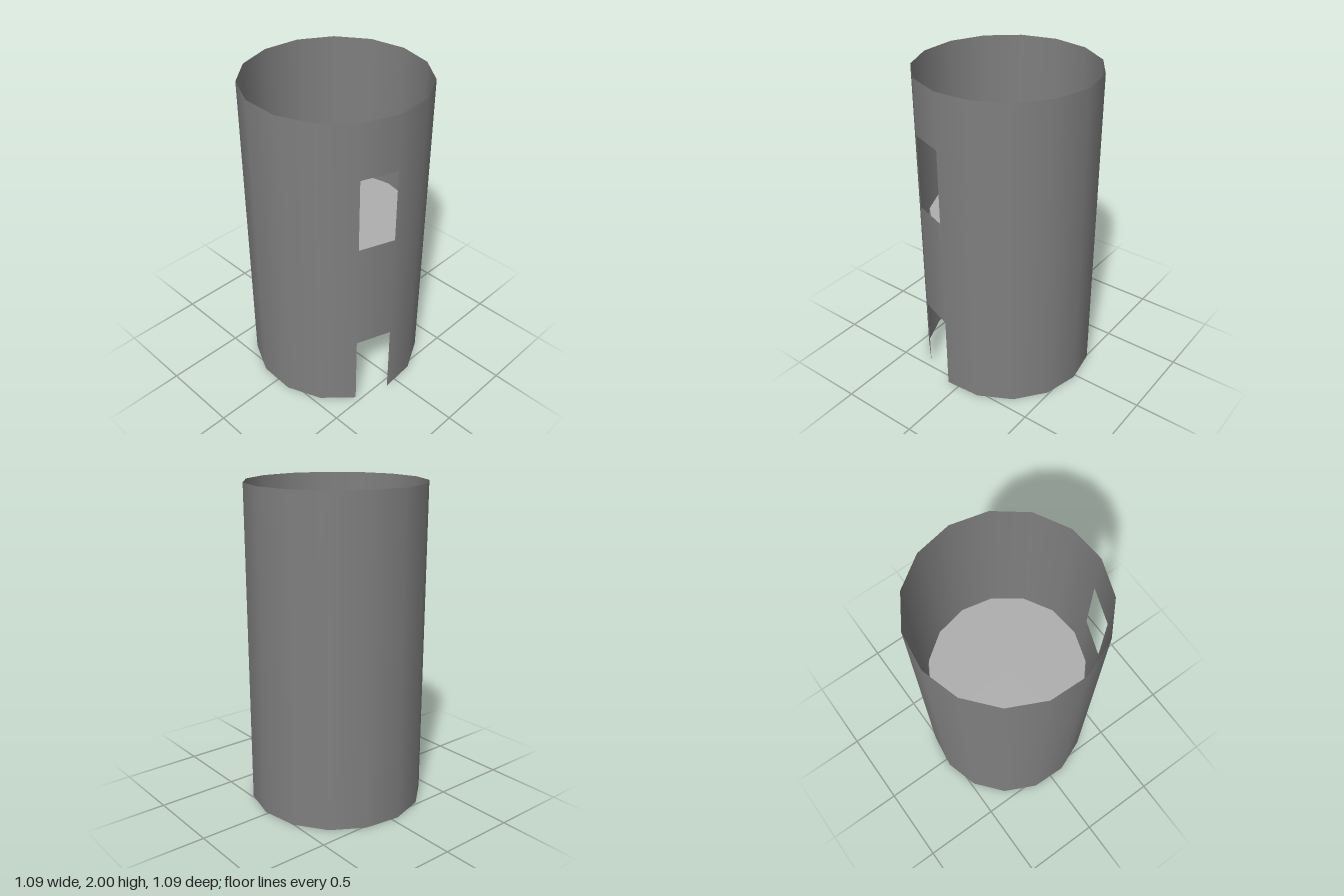
import * as THREE from 'three';

const SIDES = 15;
const STEP = (Math.PI * 2) / SIDES;
const RADIUS = 0.549;
const HEIGHT = 2;
const OPENING = THREE.MathUtils.degToRad(-31.8); // start angle of the facet with the openings

export function createModel() {
  const group = new THREE.Group();
  const darkGrey = new THREE.MeshStandardMaterial({ color: 0x7f7f7f, side: THREE.DoubleSide });
  const lightGrey = new THREE.MeshStandardMaterial({ color: 0xaeaeae });

  // Thin tube wall: a run of facets between two heights
  const shell = new THREE.Group();
  shell.name = 'tubeShell';
  shell.position.set(-0.004, 0, 0.002);
  const addWall = (name, facets, start, bottom, top) => {
    const h = top - bottom;
    const geometry = new THREE.CylinderGeometry(RADIUS, RADIUS, h, facets, 1, true, start, facets * STEP);
    const mesh = new THREE.Mesh(geometry, darkGrey);
    mesh.name = name;
    mesh.position.y = bottom + h / 2;
    shell.add(mesh);
  };
  addWall('mainWall', SIDES - 1, OPENING + STEP, 0, HEIGHT);
  // The front facet is open for a doorway at the base and a window above it
  addWall('wallBetweenOpenings', 1, OPENING, 0.485, 1.2);
  addWall('wallAboveWindow', 1, OPENING, 1.66, HEIGHT);
  group.add(shell);

  // Slightly tapered floor slab inside the tube, just below the window
  const floor = new THREE.Mesh(
    new THREE.CylinderGeometry(0.487, 0.498, 0.1, SIDES, 1, false, Math.PI / 2),
    lightGrey
  );
  floor.name = 'innerFloor';
  floor.position.set(-0.005, 1.02, 0);
  group.add(floor);

  return group;
}
